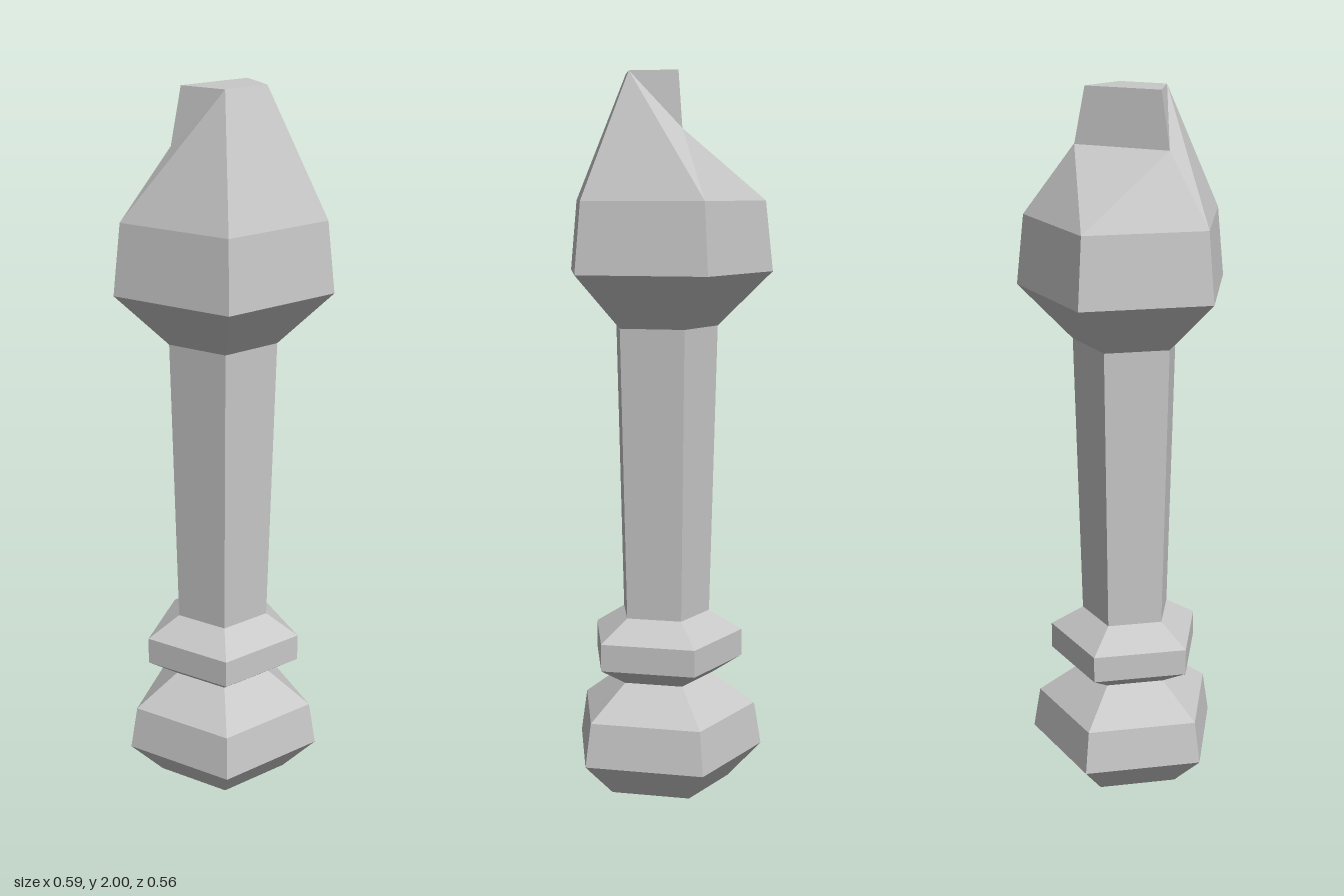
import * as THREE from 'three';

const AXIS_Z = 0.028; // the pentagon's axis, so the bounds are centred on z = 0

export function createModel() {
  const group = new THREE.Group();
  const stone = new THREE.MeshStandardMaterial({ color: 0xc8c8c8, flatShading: true });
  stone.name = 'light grey stone';

  const add = (name, geometry) => {
    const mesh = new THREE.Mesh(geometry, stone);
    mesh.name = name;
    group.add(mesh);
    return mesh;
  };

  // Five-sided turned section from [radius, height] points, corner to the back
  const turned = (name, profile) => {
    const points = profile.map(([r, y]) => new THREE.Vector2(r, y));
    add(name, new THREE.LatheGeometry(points, 5, Math.PI)).position.z = AXIS_Z;
  };

  turned('base', [[0, 0], [0.188, 0], [0.284, 0.095], [0.264, 0.217], [0.14, 0.31]]);
  turned('collar', [[0.14, 0.31], [0.226, 0.36], [0.226, 0.436], [0.132, 0.495]]);
  turned('shaft', [[0.132, 0.495], [0.154, 1.31]]);
  turned('head', [[0.154, 1.31], [0.308, 1.46], [0.287, 1.655]]);

  // Crown: sloped faces rising to a flat top, with a notch cut in the back
  const R = 0.287;
  const corner = (i) => {
    const a = Math.PI * (1 - 0.4 * i);
    return [R * Math.sin(a), 1.655, AXIS_Z + R * Math.cos(a)];
  };
  const back = corner(0), side = corner(1), front = corner(2);
  const topFront = [0.07, 2, 0.124], topBack = [0.111, 2, -0.006], notch = [0.139, 1.846, -0.014];
  const flip = ([x, y, z]) => [-x, y, z];
  const positions = [];
  const tri = (a, b, c) => positions.push(...a, ...b, ...c);
  // Symmetric four-sided face from its lower and upper corners
  const quad = (a, b, c, d) => { tri(a, b, c); tri(a, c, d); };

  quad(flip(front), front, topFront, flip(topFront));
  quad(flip(topFront), topFront, topBack, flip(topBack));
  quad(notch, flip(notch), flip(topBack), topBack);
  tri(back, flip(notch), notch);
  for (const [a, b, c] of [
    [front, side, topFront],
    [side, notch, topFront],
    [notch, topBack, topFront],
    [side, back, notch],
  ]) {
    tri(a, b, c);
    tri(flip(a), flip(c), flip(b));
  }
  const crown = new THREE.BufferGeometry();
  crown.setAttribute('position', new THREE.Float32BufferAttribute(positions, 3));
  crown.computeVertexNormals();
  add('crown', crown);

  return group;
}
